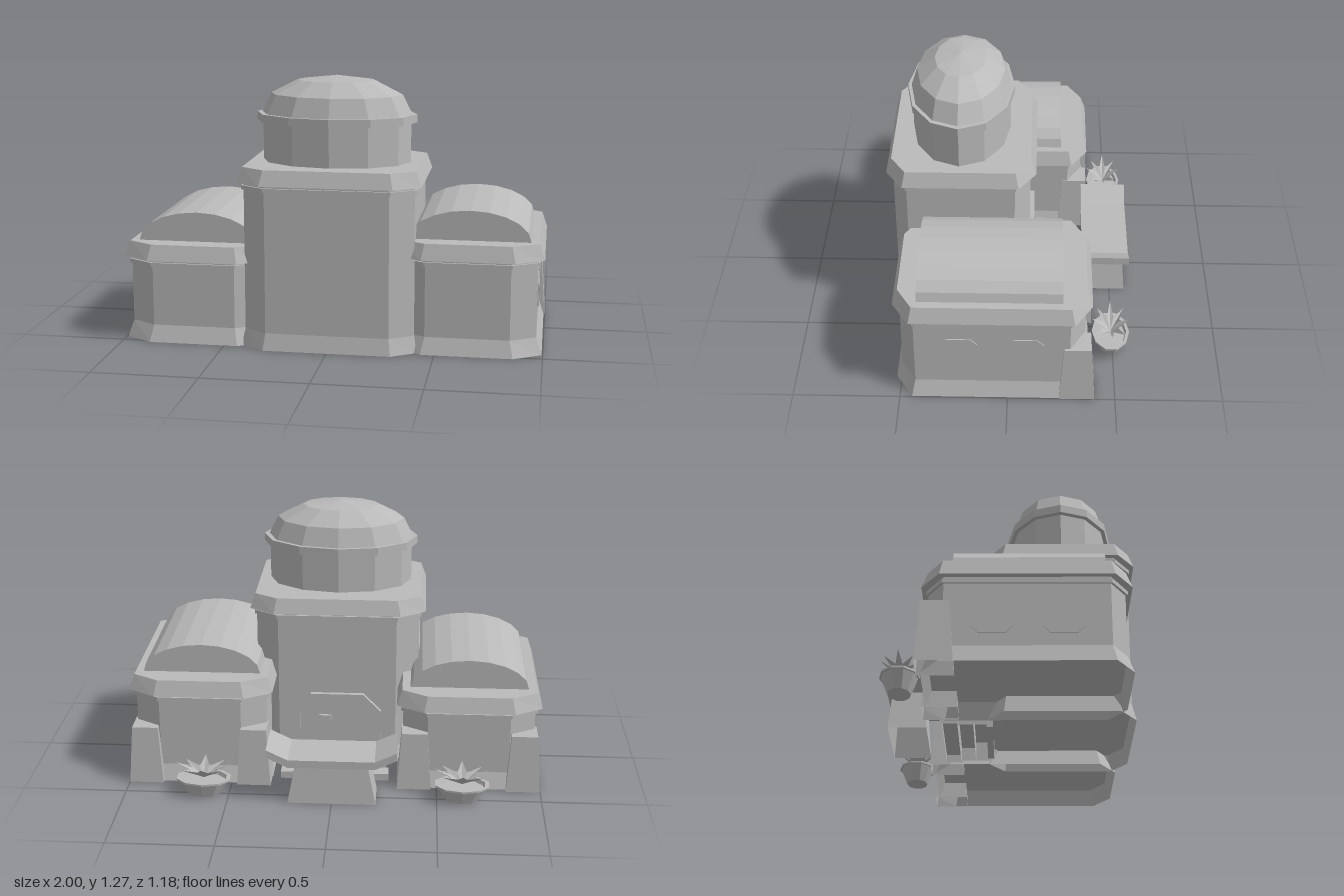
import * as THREE from 'three';

const stone = new THREE.MeshStandardMaterial({ color: 0xbababa, flatShading: true, side: THREE.DoubleSide });
stone.name = 'stone grey';

function add(parent, geometry, name, x = 0, y = 0, z = 0) {
  const mesh = new THREE.Mesh(geometry, stone);
  mesh.name = name;
  mesh.position.set(x, y, z);
  parent.add(mesh);
  return mesh;
}

// Surface through stacked outlines of [x, z] points, with optional end caps
function loft(levels, capBottom = true, capTop = true) {
  const pos = [];
  const n = levels[0].outline.length;
  const put = (l, i) => pos.push(l.outline[i % n][0], l.y, l.outline[i % n][1]);
  for (let k = 0; k < levels.length - 1; k++) {
    const a = levels[k], b = levels[k + 1];
    for (let i = 0; i < n; i++) {
      put(a, i); put(b, i); put(b, i + 1);
      put(a, i); put(b, i + 1); put(a, i + 1);
    }
  }
  const bottom = levels[0], top = levels[levels.length - 1];
  for (let i = 1; i < n - 1; i++) {
    if (capBottom) { put(bottom, 0); put(bottom, i); put(bottom, i + 1); }
    if (capTop) { put(top, 0); put(top, i + 1); put(top, i); }
  }
  const g = new THREE.BufferGeometry();
  g.setAttribute('position', new THREE.Float32BufferAttribute(pos, 3));
  g.computeVertexNormals();
  return g;
}

// Rectangle with cut corners
function cutRect(hx, hz, cx, cz) {
  return [[hx, hz - cz], [hx - cx, hz], [-hx + cx, hz], [-hx, hz - cz],
    [-hx, -hz + cz], [-hx + cx, -hz], [hx - cx, -hz], [hx, -hz + cz]];
}

// Box that narrows upwards, open underneath
function taperedBox(w, d, w2, d2, h) {
  const rect = (a, b) => [[a / 2, b / 2], [-a / 2, b / 2], [-a / 2, -b / 2], [a / 2, -b / 2]];
  return loft([{ y: 0, outline: rect(w, d) }, { y: h, outline: rect(w2, d2) }], false);
}

function sideWindow(parent, x, y, z) {
  const outline = cutRect(0.087, 0.074, 0.03, 0.03).map(p => new THREE.Vector2(...p));
  const g = new THREE.ExtrudeGeometry(new THREE.Shape(outline), { depth: 0.008, bevelEnabled: false });
  g.translate(0, 0, -0.004);
  add(parent, g, 'sideWindow', x, y, z).rotation.y = Math.PI / 2;
}

// Walls over a raised floor, flared skirt, string course and cornice
function wallBlock(parent, name, hx, hz, cx, cz, eave, top, x, z, flare) {
  const g = new THREE.Group();
  g.name = name;
  g.position.set(x, 0, z);
  const level = ([y, d]) => ({ y, outline: cutRect(hx + d, hz + d, cx + d * 0.4, cz + d * 0.4) });
  add(g, loft([[0, flare], [0.08, 0]].map(level), false, false), name + 'Skirt');
  add(g, loft([[0.08, 0], [eave, 0]].map(level)), name + 'Walls');
  add(g, loft([[eave - 0.032, 0.01], [eave - 0.013, 0.01]].map(level)), name + 'Band');
  add(g, loft([[eave, 0.031], [top, 0.006]].map(level)), name + 'Cornice');
  parent.add(g);
  return g;
}

function wing(parent, side) {
  const dy = side > 0 ? 0 : -0.052;
  const top = 0.527 + dy;
  const g = wallBlock(parent, side > 0 ? 'leftWing' : 'rightWing', 0.318, 0.427, 0.12, 0.07, 0.452 + dy, top, side * 0.65, 0.07, 0.027);
  // Barrel vault roof
  const arc = [];
  for (let i = 0; i <= 10; i++) {
    const a = (i / 10) * Math.PI;
    arc.push(new THREE.Vector2(Math.cos(a) * 0.285, Math.sin(a) * 0.142));
  }
  add(g, new THREE.ExtrudeGeometry(new THREE.Shape(arc), { depth: 0.66, bevelEnabled: false }), 'vaultRoof', 0, top, -0.32);
  for (const z of [0.155, -0.15]) sideWindow(g, side * 0.319, 0.262 + dy, z);
  // Tapered buttresses at the back corners
  for (const x of [0.917, 0.39]) {
    add(parent, taperedBox(0.165, 0.165, 0.125, 0.125, 0.285), 'buttress', side * x, 0, -0.322);
  }
}

function planter(parent, x) {
  const g = new THREE.Group();
  g.name = 'planter';
  g.position.set(x, 0, -0.49);
  g.scale.x = 1.5;
  const bowl = [[0, 0], [0.052, 0], [0.082, 0.074], [0.09, 0.074], [0.09, 0.083], [0.076, 0.083], [0.07, 0.065], [0, 0.065]];
  add(g, new THREE.LatheGeometry(bowl.map(p => new THREE.Vector2(...p)), 10), 'bowl');
  // Star of spreading pointed leaves
  const points = 8, pos = [];
  const rim = i => {
    const a = (i / (points * 2)) * Math.PI * 2;
    const [r, y] = i % 2 ? [0.04, 0.122] : [0.09, i % 4 ? 0.145 : 0.16];
    return [Math.sin(a) * r, y, Math.cos(a) * r];
  };
  for (let i = 0; i < points * 2; i++) pos.push(0, 0.08, 0, ...rim(i), ...rim(i + 1));
  const leaves = new THREE.BufferGeometry();
  leaves.setAttribute('position', new THREE.Float32BufferAttribute(pos, 3));
  leaves.computeVertexNormals();
  add(g, leaves, 'leaves');
  parent.add(g);
}

export function createModel() {
  const model = new THREE.Group();
  model.name = 'domedBuilding';

  // Central tower with oval drum and dome
  const tower = wallBlock(model, 'tower', 0.401, 0.325, 0.11, 0.07, 0.787, 0.86, 0, 0.2325, 0.018);
  for (const z of [-0.1, 0.1]) sideWindow(tower, -0.402, 0.51, z);
  const crown = new THREE.Group();
  crown.name = 'domeGroup';
  crown.position.z = 0.24;
  crown.scale.x = 1.5;
  add(crown, new THREE.CylinderGeometry(0.237, 0.237, 0.2, 12), 'drum', 0, 0.955, 0);
  add(crown, new THREE.CylinderGeometry(0.256, 0.256, 0.039, 12), 'domeRing', 0, 1.069, 0);
  const dome = [[0.24, 1.088], [0.21, 1.18], [0.124, 1.245], [0, 1.268]].map(p => new THREE.Vector2(...p));
  add(crown, new THREE.LatheGeometry(dome, 12), 'dome');
  model.add(crown);

  for (const side of [1, -1]) {
    wing(model, side);
    planter(model, side * 0.62);
  }

  // Doorway with cut upper corners
  const arch = (w, h, c) => [[-w, 0], [w, 0], [w, h - c], [w - c, h], [c - w, h], [-w, h - c]].map(p => new THREE.Vector2(...p));
  const frame = new THREE.Shape(arch(0.22, 0.365, 0.09));
  frame.holes.push(new THREE.Path(arch(0.185, 0.335, 0.078)));
  add(model, new THREE.ExtrudeGeometry(frame, { depth: 0.03, bevelEnabled: false }), 'doorFrame', 0, 0, -0.115);
  add(model, new THREE.BoxGeometry(0.06, 0.03, 0.016), 'doorPlate', 0.06, 0.23, -0.098);

  // Entrance steps
  [[0.53, -0.285, 0.035], [0.5, -0.21, 0.065], [0.5, -0.14, 0.095]].forEach(([w, z, y]) => {
    add(model, taperedBox(w, 0.072, w, 0.072, y), 'step', 0, 0, z);
  });

  // Counter: tapered pedestal under a slab with upturned ends
  add(model, taperedBox(0.42, 0.18, 0.34, 0.15, 0.2), 'counterPedestal', 0, 0, -0.485);
  const line = [[0.308, 0.28], [0.205, 0.23], [-0.205, 0.23], [-0.308, 0.28]];
  const under = line.map(([x, y]) => [x, y - 0.039]).reverse();
  const slab = new THREE.Shape([...line, ...under].map(p => new THREE.Vector2(...p)));
  add(model, new THREE.ExtrudeGeometry(slab, { depth: 0.23, bevelEnabled: false }), 'counterTop', 0, 0, -0.587);

  return model;
}
